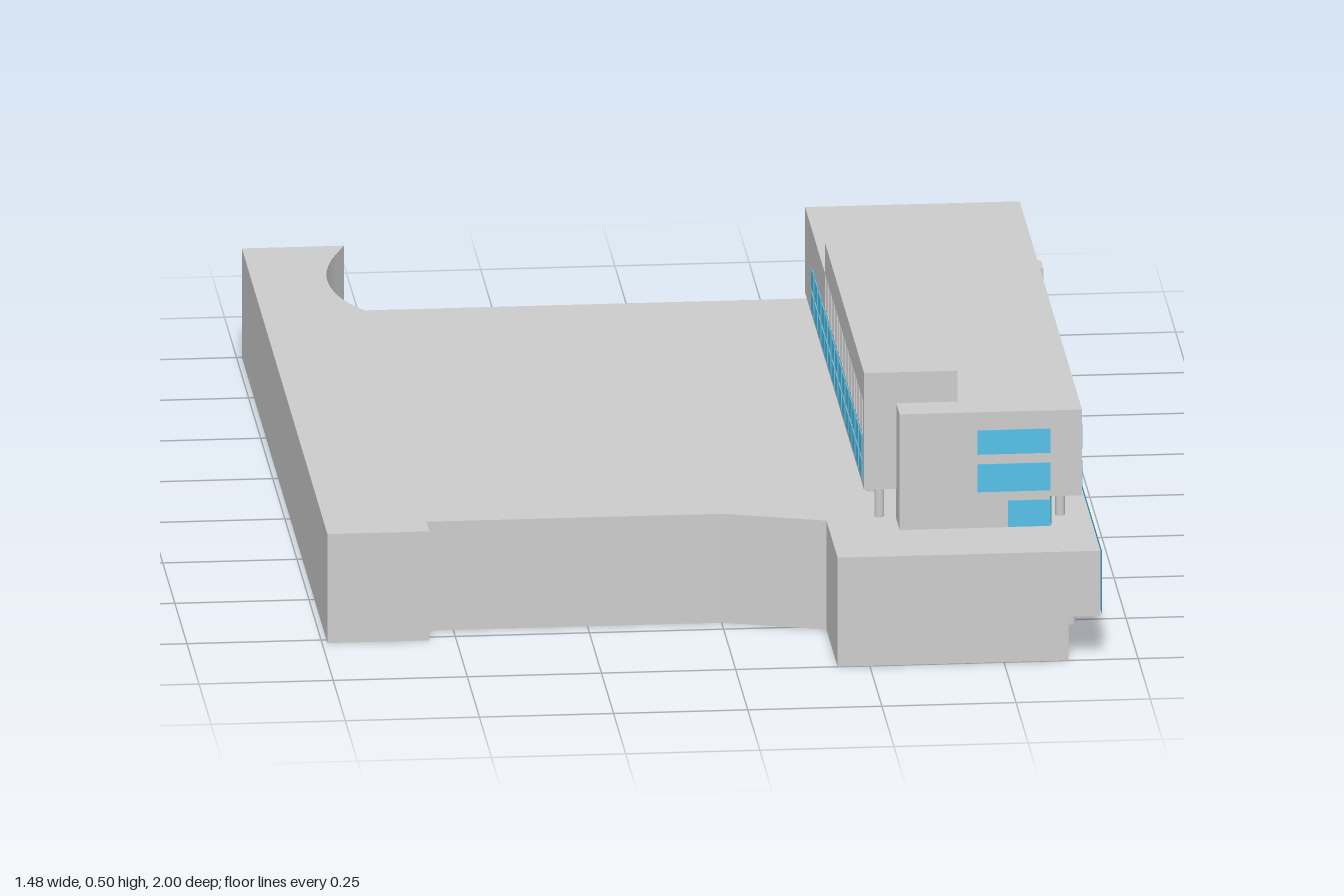
import * as THREE from 'three';

const grey = new THREE.MeshStandardMaterial({ color: 0xcccccc });
const glass = new THREE.MeshStandardMaterial({ color: 0x55c0e8, side: THREE.DoubleSide });

// Smooth plan curve through [x, z] points
const curve = (pts, n) => new THREE.CatmullRomCurve3(pts.map(([x, z]) => new THREE.Vector3(x, 0, z)))
  .getPoints(n).map(p => [p.x, p.z]);

export function createModel() {
  const model = new THREE.Group();
  const add = (name, geo, mat = grey) => {
    const m = new THREE.Mesh(geo, mat);
    m.name = name;
    model.add(m);
    return m;
  };
  const box = (name, x0, x1, y0, y1, z0, z1, mat) =>
    add(name, new THREE.BoxGeometry(x1 - x0, y1 - y0, z1 - z0)
      .translate((x0 + x1) / 2, (y0 + y1) / 2, (z0 + z1) / 2), mat);
  const column = (x, z, y0, y1, r = 0.009) =>
    add('column', new THREE.CylinderGeometry(r, r, y1 - y0, 12).translate(x, (y0 + y1) / 2, z));
  // Plan outline raised from y0 to y1
  const slab = (name, pts, y0, y1, mat) => {
    const shape = new THREE.Shape(pts.map(([x, z]) => new THREE.Vector2(x, -z)));
    return add(name, new THREE.ExtrudeGeometry(shape, { depth: y1 - y0, bevelEnabled: false })
      .rotateX(-Math.PI / 2).translate(0, y0, 0), mat);
  };
  // Vertical glass strip standing just outside a plan line
  const ribbon = (name, pts, y0, y1) => {
    const pos = [], idx = [];
    pts.forEach(([x, z], i) => {
      const a = pts[Math.max(i - 1, 0)], b = pts[Math.min(i + 1, pts.length - 1)];
      const dx = b[0] - a[0], dz = b[1] - a[1], k = 0.003 / Math.hypot(dx, dz);
      pos.push(x + dz * k, y0, z - dx * k, x + dz * k, y1, z - dx * k);
      if (i) idx.push(2 * i - 2, 2 * i - 1, 2 * i, 2 * i, 2 * i - 1, 2 * i + 1);
    });
    const g = new THREE.BufferGeometry();
    g.setAttribute('position', new THREE.Float32BufferAttribute(pos, 3));
    g.setIndex(idx);
    g.computeVertexNormals();
    add(name, g, glass);
  };
  // Facade rectangle with one rectangular opening
  const facade = (u0, u1, v0, v1, a0, a1, b0, b1, depth) => {
    const rect = (C, l, r, b, t) => new C([[l, b], [r, b], [r, t], [l, t]].map(p => new THREE.Vector2(...p)));
    const s = rect(THREE.Shape, u0, u1, v0, v1);
    s.holes.push(rect(THREE.Path, a0, a1, b0, b1));
    return new THREE.ExtrudeGeometry(s, { depth, bevelEnabled: false });
  };
  // Solid wedge: quads [low outer, low inner, top] as two triangles ends
  const wedge = (name, a, b) => {
    const pos = [];
    const tri = (...p) => p.forEach(v => pos.push(...v));
    tri(a[0], a[1], a[2]);
    tri(b[0], b[2], b[1]);
    for (let i = 0; i < 3; i++) {
      const j = (i + 1) % 3;
      tri(a[i], b[i], b[j]);
      tri(a[i], b[j], a[j]);
    }
    const g = new THREE.BufferGeometry();
    g.setAttribute('position', new THREE.Float32BufferAttribute(pos, 3));
    g.computeVertexNormals();
    const m = grey.clone();
    m.side = THREE.DoubleSide;
    add(name, g, m);
  };

  // Podium plan lines
  const front = [[-0.74, 0.77], [-0.55, 0.77], [-0.55, 0.71], [0, 0.71], [0.19, 0.77], [0.19, 1]];
  const courtWall = curve([[-0.55, -1], [-0.585, -0.9], [-0.6, -0.8], [-0.585, -0.68],
    [-0.53, -0.57], [-0.46, -0.49], [-0.37, -0.435]], 20);
  const sweep = curve([[-0.37, -0.435], [-0.15, -0.465], [0.05, -0.44], [0.26, -0.36], [0.45, -0.23],
    [0.58, -0.09], [0.66, 0.04], [0.68, 0.15]], 36);
  const lowSweep = curve([[0.34, -0.37], [0.44, -0.2], [0.52, -0.08], [0.59, 0.06], [0.62, 0.2]], 16);

  // Ground storey with rear terrace, and the overhanging main storey
  slab('groundStorey', [...front, [0.62, 1], ...lowSweep.slice().reverse(), [0.43, -0.43],
    [0.43, -0.85], [0.32, -0.85], [0.32, -1], [-0.74, -1]], 0, 0.085);
  slab('mainStorey', [...front, [0.68, 1], ...sweep.slice().reverse(),
    ...courtWall.slice(0, -1).reverse(), [-0.74, -1]], 0.085, 0.212);
  ribbon('mainGlazing', [...sweep, [0.68, 0.998]], 0.087, 0.21);
  ribbon('groundGlazing', [...lowSweep, [0.62, 0.56]], 0.002, 0.083);

  // Terrace bank, garden wall and sloped planter
  wedge('bank', [[0.43, 0, -0.41], [0.54, 0, -0.41], [0.43, 0.085, -0.45]],
    [[0.43, 0, -0.86], [0.54, 0, -0.86], [0.43, 0.085, -0.86]]);
  box('gardenWall', 0.32, 0.74, 0, 0.178, -0.9, -0.85);
  wedge('planter', [[-0.585, 0.08, -0.7], [-0.49, 0.085, -0.74], [-0.585, 0.16, -0.7]],
    [[-0.49, 0.08, -0.525], [-0.405, 0.085, -0.585], [-0.49, 0.16, -0.525]]);

  // Recessed storey under the upper block, rounded at the back
  const recessBack = curve([[0.34, -0.12], [0.46, -0.14], [0.55, -0.11], [0.59, -0.04], [0.6, 0.04]], 14);
  slab('recessedStorey', [[0.32, 0.84], [0.6, 0.84], ...recessBack.slice().reverse(), [0.34, 0.76], [0.32, 0.76]],
    0.212, 0.27);
  ribbon('recessedGlazing', [...recessBack, [0.6, 0.838]], 0.213, 0.269);

  // Upper block: core, side wall with long loggia, back wall with deep window
  box('upperCore', 0.32, 0.6, 0.27, 0.437, -0.41, 0.84);
  add('loggiaWall', facade(-0.41, 0.84, 0.27, 0.437, -0.03, 0.605, 0.36, 0.405, 0.06)
    .rotateY(-Math.PI / 2).translate(0.66, 0, 0));
  box('loggiaGlass', 0.6, 0.612, 0.36, 0.405, -0.03, 0.605, glass);
  for (const z of [0.12, 0.29]) box('loggiaMullion', 0.61, 0.62, 0.36, 0.405, z - 0.003, z + 0.003);
  add('backWall', facade(0.26, 0.66, 0.27, 0.437, 0.32, 0.58, 0.315, 0.385, 0.04).translate(0, 0, -0.45));
  box('backGlass', 0.32, 0.58, 0.315, 0.385, -0.425, -0.41, glass);
  box('sideBlock', 0.26, 0.32, 0.27, 0.437, -0.41, -0.04);
  box('sideWall', 0.26, 0.32, 0.27, 0.37, -0.04, 0.77);

  // Roof canopy with end wall and a row of fins
  box('canopy', 0.26, 0.434, 0.437, 0.497, -0.04, 0.77);
  box('canopyEndWall', 0.26, 0.32, 0.37, 0.437, 0.75, 0.77);
  for (let z = -0.02; z < 0.74; z += 0.032) box('fin', 0.26, 0.3, 0.37, 0.437, z, z + 0.01);

  // Punched windows on the left side in two rows
  for (let i = 0; i < 36; i++) {
    const z = 0.815 - i * 0.033;
    box('window', 0.65, 0.662, 0.285, 0.333, z - 0.011, z + 0.011, glass);
    if (z > 0.63 || z < -0.05) box('window', 0.65, 0.662, 0.357, 0.402, z - 0.011, z + 0.011, glass);
  }
  // Larger windows on the right side
  for (let i = 0; i < 15; i++) {
    const z = -0.28 + i * 0.071;
    for (const y of [0.282, 0.328]) box('window', 0.258, 0.27, y, y + 0.036, z - 0.026, z + 0.026, glass);
  }
  // Front windows
  for (const [x, y0, y1] of [[0.465, 0.355, 0.402], [0.465, 0.282, 0.336], [0.522, 0.213, 0.264]])
    box('frontWindow', x, 0.601, y0, y1, 0.83, 0.842, glass);

  // Columns under the overhangs
  for (let i = 0; i < 6; i++) {
    const z = 0.77 - i * 0.161;
    column(0.625, z, 0.212, 0.27);
    column(0.29, z - 0.02, 0.212, 0.27);
    column(i < 5 ? 0.645 : 0.63, z, 0, 0.085);
  }
  column(0.29, -0.22, 0.212, 0.27);
  column(0.61, -0.4, 0, 0.27);
  column(0.29, -0.4, 0.085, 0.27);
  return model;
}
